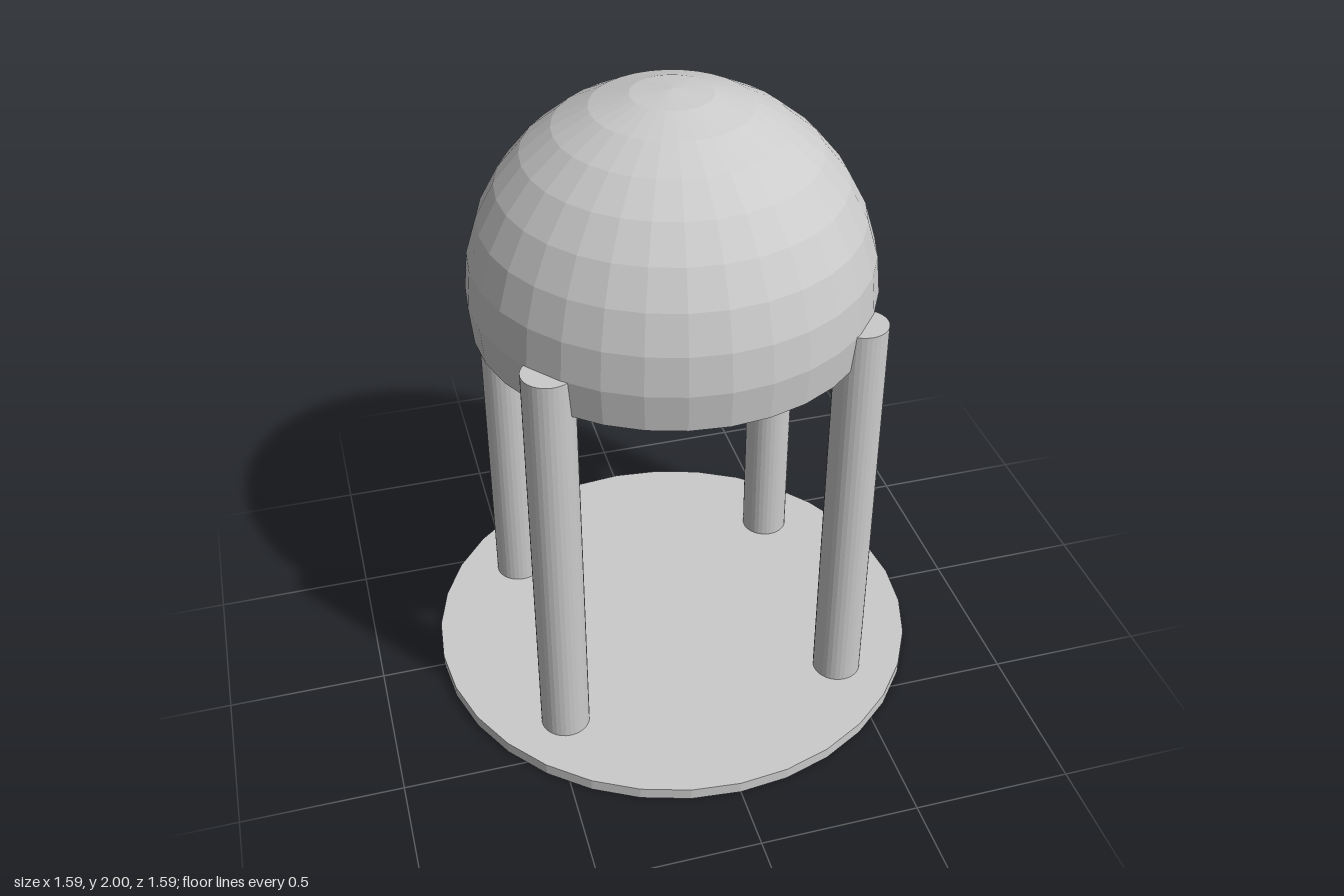
import * as THREE from 'three';

export function createModel() {
  const model = new THREE.Group();
  model.name = 'domedPavilion';

  const stone = new THREE.MeshStandardMaterial({ color: 0xcccccc, flatShading: true });
  const shell = new THREE.MeshStandardMaterial({ color: 0xcccccc, flatShading: true, side: THREE.DoubleSide });

  const add = (name, geometry, material, x, y, z) => {
    const mesh = new THREE.Mesh(geometry, material);
    mesh.name = name;
    mesh.position.set(x, y, z);
    model.add(mesh);
  };

  const baseHeight = 0.0385;
  const domeRadius = 0.6154;
  const domeCentre = 2 - domeRadius;

  // Thin round floor
  add('base', new THREE.CylinderGeometry(0.795, 0.795, baseHeight, 32), stone, 0, baseHeight / 2, 0);

  // Four columns, reaching up to the dome's widest ring
  const columnHeight = domeCentre - baseHeight;
  const columnGeometry = new THREE.CylinderGeometry(0.0769, 0.0769, columnHeight, 32);
  for (const [sx, side] of [[1, 'Left'], [-1, 'Right']]) {
    for (const [sz, end] of [[1, 'front'], [-1, 'back']]) {
      add(`${end}${side}Column`, columnGeometry, stone, sx * 0.4615, baseHeight + columnHeight / 2, sz * 0.3846);
    }
  }

  // Open dome shell: nine of a sphere's sixteen rings, one below its equator
  const dome = new THREE.SphereGeometry(domeRadius, 32, 9, 0, Math.PI * 2, 0, Math.PI * 9 / 16);
  add('dome', dome, shell, 0, domeCentre, 0);

  return model;
}
